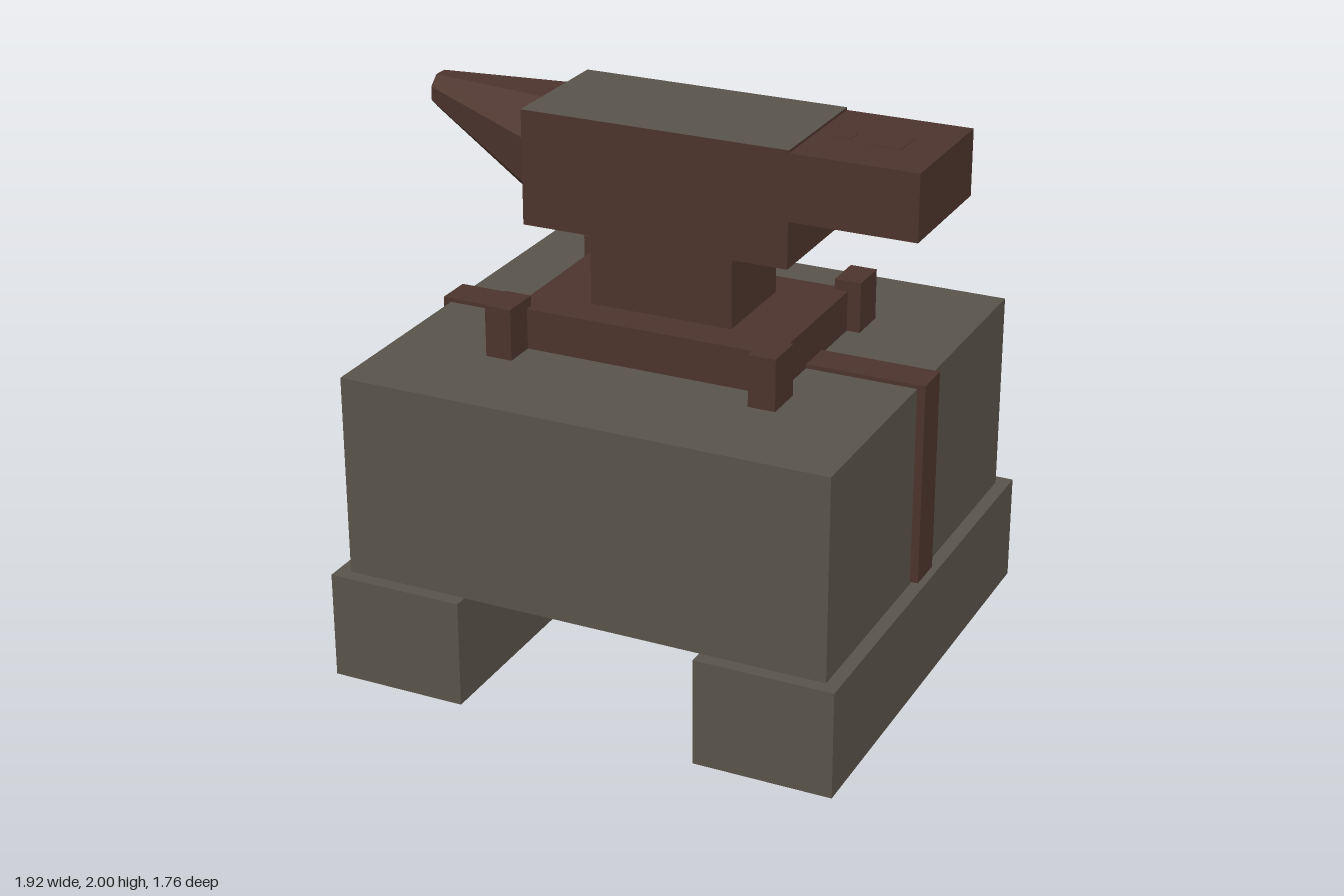
import * as THREE from 'three';

export function createModel() {
  const model = new THREE.Group();
  model.name = 'anvilOnStoneBlock';

  const stone = new THREE.MeshStandardMaterial({ color: 0x59544a, side: THREE.DoubleSide });
  stone.name = 'grey stone';
  const iron = new THREE.MeshStandardMaterial({ color: 0x4c342c });
  iron.name = 'brown iron';

  const add = (name, geometry, material) => {
    const mesh = new THREE.Mesh(geometry, material);
    mesh.name = name;
    model.add(mesh);
    return mesh;
  };

  // Box given by its lower and upper bounds on each axis
  const box = (name, material, [x0, x1], [y0, y1], [z0, z1]) => {
    const geometry = new THREE.BoxGeometry(x1 - x0, y1 - y0, z1 - z0);
    geometry.translate((x0 + x1) / 2, (y0 + y1) / 2, (z0 + z1) / 2);
    return add(name, geometry, material);
  };

  // Stone block
  box('stoneBlock', stone, [-0.91, 0.91], [0.4, 1.15], [-0.83, 0.83]);

  // Feet: hollow, open underneath
  for (const [name, x] of [['leftFoot', [0.45, 0.96]], ['rightFoot', [-0.96, -0.45]]]) {
    const foot = box(name, stone, x, [0, 0.4], [-0.88, 0.88]);
    const index = Array.from(foot.geometry.index.array);
    index.splice(18, 6); // drop the bottom face
    foot.geometry.setIndex(index);
    foot.geometry.clearGroups();
  }

  // Iron strap over the block and down both sides
  box('strapTop', iron, [-0.94, 0.94], [1.15, 1.165], [-0.07, 0.07]);
  box('strapLeft', iron, [0.91, 0.94], [0.41, 1.15], [-0.07, 0.07]);
  box('strapRight', iron, [-0.94, -0.91], [0.41, 1.15], [-0.07, 0.07]);

  // Anvil base, with a clamp lug at each corner
  box('anvilBase', iron, [-0.5, 0.5], [1.15, 1.3], [-0.33, 0.33]);
  for (const sx of [-1, 1]) {
    for (const sz of [-1, 1]) {
      const lug = new THREE.BoxGeometry(0.1, 0.19, 0.15);
      lug.translate(sx * 0.5, 1.245, sz * 0.375);
      add('clampLug', lug, iron);
    }
  }

  // Waist, and body with a grey working face on top
  box('anvilWaist', iron, [-0.27, 0.27], [1.3, 1.58], [-0.19, 0.19]);
  box('anvilBody', [iron, iron, stone, iron, iron, iron], [-0.5, 0.5], [1.58, 2], [-0.25, 0.25]);

  // Heel with two flush square marks
  box('anvilHeel', iron, [0.5, 0.96], [1.75, 1.99], [-0.25, 0.25]);
  box('largeHeelMark', iron, [0.7, 0.82], [1.989, 1.992], [-0.06, 0.06]);
  box('smallHeelMark', iron, [0.57, 0.63], [1.989, 1.992], [-0.03, 0.03]);

  // Horn: eight-sided taper, sheared so its top stays level
  let horn = new THREE.CylinderGeometry(0.065, 0.216, 0.46, 8, 1, false, Math.PI / 8);
  horn.rotateZ(Math.PI / 2);
  horn.scale(1, 1, 1.12);
  horn.translate(-0.73, 1.8, 0);
  const p = horn.attributes.position;
  for (let i = 0; i < p.count; i++) {
    const t = (-0.5 - p.getX(i)) / 0.46;
    p.setY(i, p.getY(i) + 0.14 * t);
  }
  horn = horn.toNonIndexed();
  horn.clearGroups();
  horn.computeVertexNormals(); // flat facets
  add('anvilHorn', horn, iron);

  return model;
}
